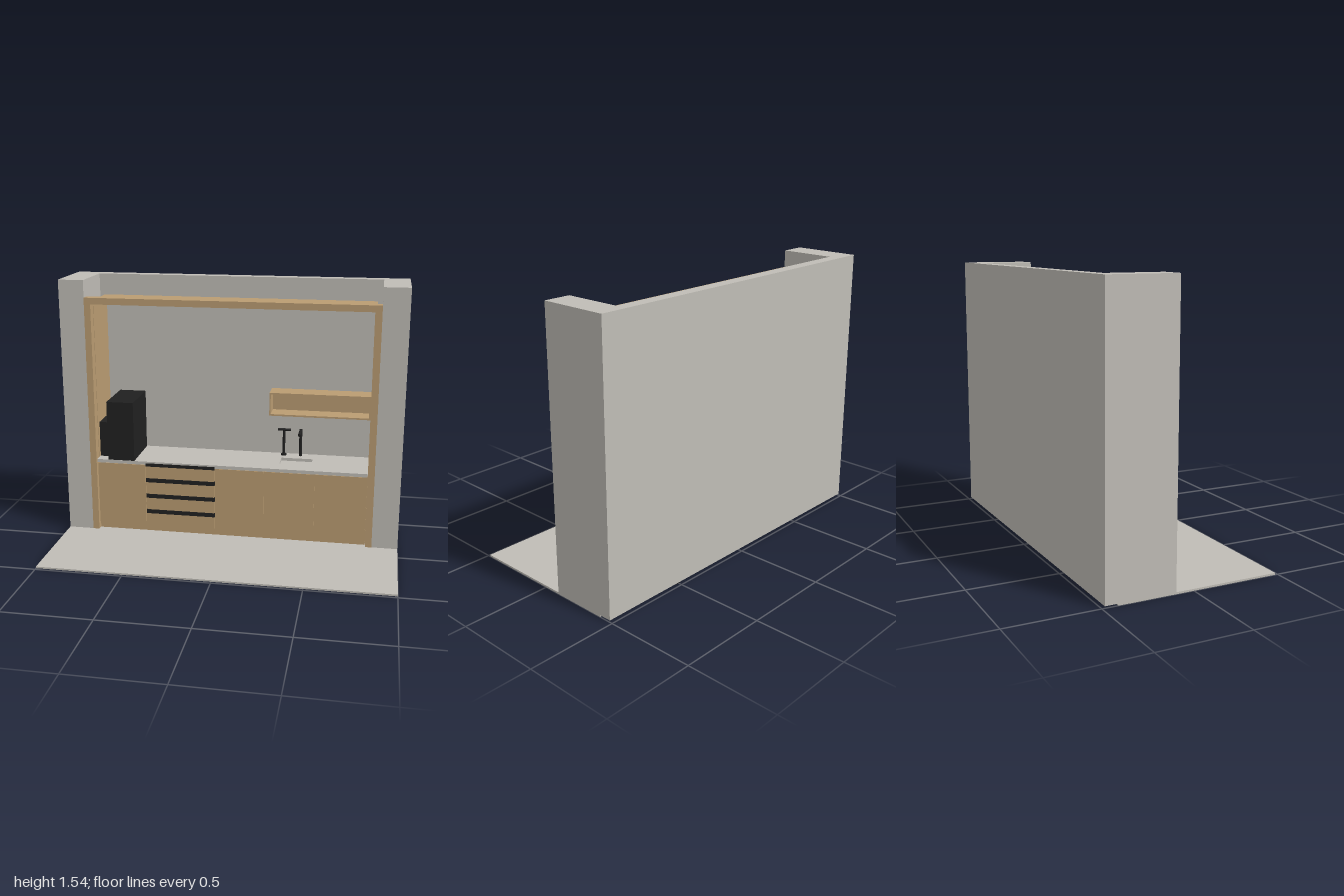
import * as THREE from 'three';

const mat = (name, color) => {
  const m = new THREE.MeshStandardMaterial({ color });
  m.name = name;
  return m;
};

export function createModel() {
  const plaster = mat('plaster grey', 0xc0bdb6);
  const wood = mat('light oak', 0xba9c72);
  const black = mat('matte black', 0x202020);
  const model = new THREE.Group();
  model.name = 'kitchenNiche';

  const group = (name) => {
    const g = new THREE.Group();
    g.name = name;
    model.add(g);
    return g;
  };
  // Box given by its limits on each axis
  const box = (parent, name, material, [x0, x1], [y0, y1], [z0, z1]) => {
    const mesh = new THREE.Mesh(new THREE.BoxGeometry(x1 - x0, y1 - y0, z1 - z0), material);
    mesh.position.set((x0 + x1) / 2, (y0 + y1) / 2, (z0 + z1) / 2);
    mesh.name = name;
    parent.add(mesh);
    return mesh;
  };
  const outline = (points) => points.map(([x, y]) => new THREE.Vector2(x, y));
  const extrude = (shape, depth) =>
    new THREE.ExtrudeGeometry(shape, { depth, bevelEnabled: false });

  // Floor slab
  box(model, 'floor', plaster, [-1, 1], [0, 0.01], [-0.415, 0.485]);

  // U-shaped wall, drawn in plan and raised
  const plan = new THREE.Shape(outline([
    [-1, 0.1], [-0.85, 0.1], [-0.85, 0.418], [0.85, 0.418],
    [0.85, 0.1], [1, 0.1], [1, 0.485], [-1, 0.485],
  ]));
  const wall = new THREE.Mesh(extrude(plan, 1.53), plaster);
  wall.rotation.x = -Math.PI / 2;
  wall.position.y = 0.01;
  wall.name = 'wall';
  model.add(wall);

  // Small conduit ends beneath the back wall
  for (const x of [0.51, -0.79])
    box(model, 'conduitEnd', black, [x - 0.015, x + 0.015], [0.004, 0.0105], [-0.483, -0.468]);

  // Timber lining: front trim, side panels and ceiling panel
  const lining = group('niche lining');
  const trimShape = new THREE.Shape(outline([
    [-0.85, 0.01], [-0.812, 0.01], [-0.812, 1.402], [0.812, 1.402],
    [0.812, 0.01], [0.85, 0.01], [0.85, 1.44], [-0.85, 1.44],
  ]));
  const trim = new THREE.Mesh(extrude(trimShape, 0.052), wood);
  trim.position.z = -0.15;
  trim.name = 'frontTrim';
  lining.add(trim);
  for (const s of [-1, 1]) {
    const xs = [s * 0.81, s * 0.82].sort((a, b) => a - b);
    box(lining, 'sidePanel', wood, xs, [0.01, 1.402], [-0.418, -0.149]);
  }
  box(lining, 'ceilingPanel', wood, [-0.82, 0.82], [1.402, 1.414], [-0.418, -0.149]);

  // Base cabinets
  const cabinets = group('base cabinets');
  box(cabinets, 'plinth', wood, [-0.81, 0.81], [0.01, 0.052], [-0.418, -0.13]);
  box(cabinets, 'carcass', wood, [-0.81, 0.81], [0.052, 0.438], [-0.418, -0.122]);
  const gap = 0.003;
  for (const [x0, x1] of [[-0.81, -0.51], [-0.09, 0.207], [0.207, 0.507], [0.507, 0.81]])
    box(cabinets, 'door', wood, [x0 + gap, x1 - gap], [0.055, 0.438], [-0.122, -0.112]);
  // Drawer fronts, each with a dark grip channel above it
  for (let i = 0; i < 4; i++) {
    const bottom = i === 0 ? 0.055 : 0.055 + i * 0.1;
    const low = 0.13 + i * 0.1;
    const y0 = i === 0 ? bottom : low - 0.1 + 0.025;
    box(cabinets, 'drawerFront', wood, [-0.507, -0.093], [y0, low], [-0.122, -0.112]);
    box(cabinets, 'gripChannel', black, [-0.51, -0.09], [low, low + (i === 3 ? 0.02 : 0.025)], [-0.122, -0.109]);
  }

  // Worktop with a sink cut-out
  const top = new THREE.Shape(outline([
    [-0.81, 0.11], [0.81, 0.11], [0.81, 0.418], [-0.81, 0.418],
  ]));
  top.holes.push(new THREE.Path(outline([
    [0.285, 0.215], [0.285, 0.325], [0.475, 0.325], [0.475, 0.215],
  ])));
  const worktop = new THREE.Mesh(extrude(top, 0.02), plaster);
  worktop.rotation.x = -Math.PI / 2;
  worktop.position.y = 0.44;
  worktop.name = 'worktop';
  cabinets.add(worktop);
  box(cabinets, 'sinkFloor', plaster, [0.28, 0.48], [0.436, 0.442], [-0.33, -0.21]);

  // Mixer and second tap
  const taps = group('taps');
  const rod = (name, r, length, x, y, z, axis) => {
    const mesh = new THREE.Mesh(new THREE.CylinderGeometry(r, r, length, 16), black);
    if (axis === 'x') mesh.rotation.z = Math.PI / 2;
    if (axis === 'z') mesh.rotation.x = Math.PI / 2;
    mesh.position.set(x, y, z);
    mesh.name = name;
    taps.add(mesh);
  };
  rod('mixerBase', 0.016, 0.01, 0.293, 0.465, -0.38, 'y');
  rod('mixerStem', 0.008, 0.16, 0.293, 0.54, -0.38, 'y');
  rod('mixerBar', 0.008, 0.08, 0.295, 0.623, -0.38, 'x');
  rod('spoutStem', 0.009, 0.17, 0.395, 0.545, -0.38, 'y');
  rod('spoutArm', 0.009, 0.105, 0.395, 0.621, -0.332, 'z');

  // Open wall shelf
  const shelf = group('wall shelf');
  const sz = [-0.418, -0.297];
  box(shelf, 'shelfTop', wood, [0.21, 0.81], [0.861, 0.871], sz);
  box(shelf, 'shelfBottom', wood, [0.21, 0.81], [0.73, 0.74], sz);
  box(shelf, 'shelfEnd', wood, [0.21, 0.218], [0.74, 0.861], sz);
  box(shelf, 'shelfEnd', wood, [0.8, 0.81], [0.74, 0.861], sz);
  box(shelf, 'shelfBack', wood, [0.218, 0.8], [0.74, 0.861], [-0.418, -0.41]);

  // Coffee machine with side cooler
  const machine = group('coffee machine');
  box(machine, 'machineBody', black, [-0.742, -0.58], [0.46, 0.82], [-0.412, -0.112]);
  box(machine, 'milkCooler', black, [-0.809, -0.744], [0.46, 0.675], [-0.4, -0.175]);

  return model;
}
